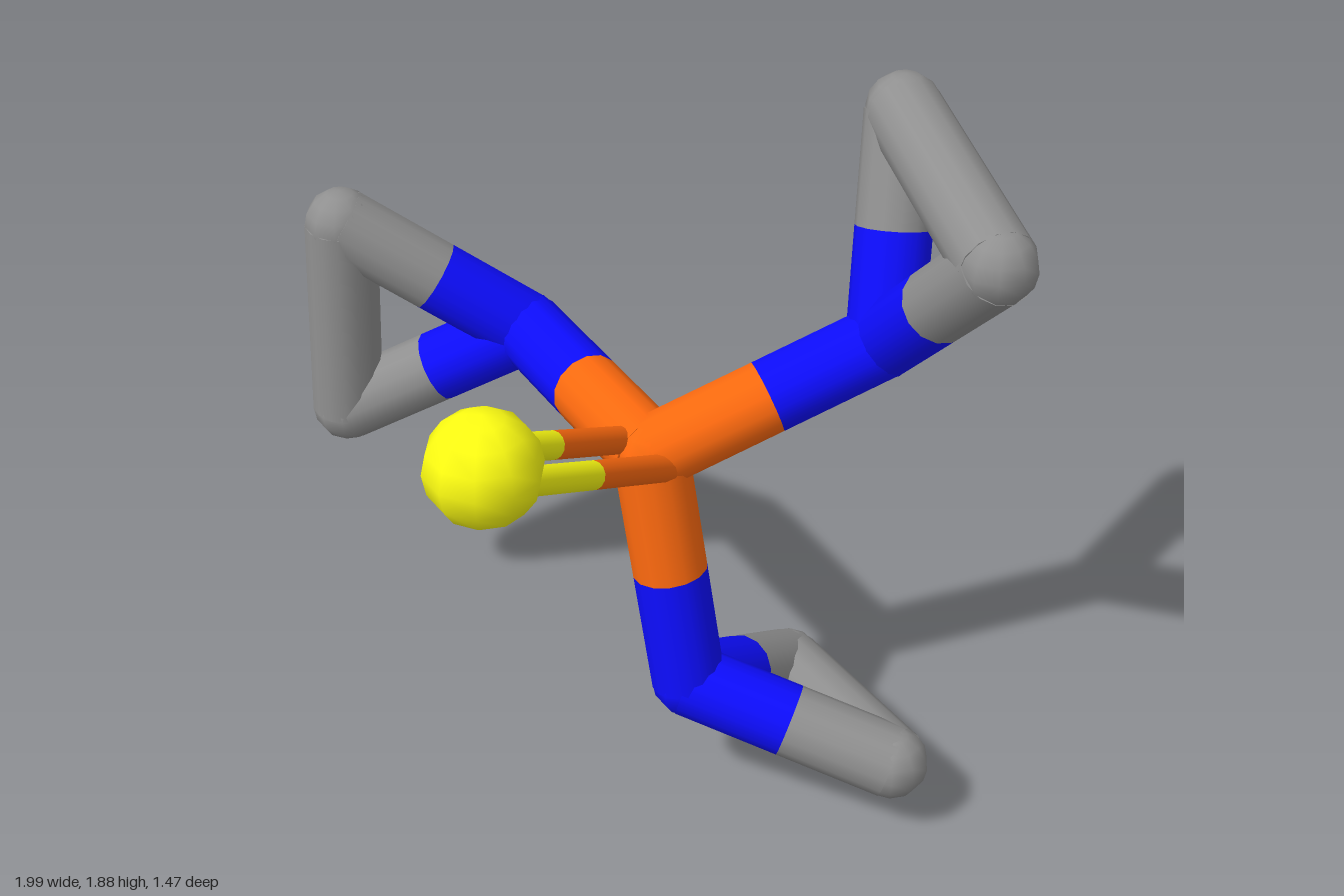
import * as THREE from 'three';

const ORANGE = 0xff6a0f, BLUE = 0x0d0dff, GREY = 0x909090, YELLOW = 0xffff12;
const R = 0.097; // thick bond radius
const V = (x, y, z) => new THREE.Vector3(x, y, z);

export function createModel() {
  const model = new THREE.Group();
  const materials = {};
  const mat = (color) => (materials[color] ??= new THREE.MeshStandardMaterial({ color }));

  function add(parent, name, geometry, color, position) {
    const mesh = new THREE.Mesh(geometry, mat(color));
    mesh.name = name;
    mesh.position.copy(position);
    parent.add(mesh);
    return mesh;
  }

  // Round rod between two points
  function rod(parent, name, a, b, radius, color) {
    const dir = b.clone().sub(a);
    const geometry = new THREE.CylinderGeometry(radius, radius, dir.length(), 14);
    const mesh = add(parent, name, geometry, color, a.clone().lerp(b, 0.5));
    mesh.quaternion.setFromUnitVectors(V(0, 1, 0), dir.normalize());
  }

  // Bond coloured half and half by the atoms at its ends
  function bond(parent, name, a, b, radius, colorA, colorB) {
    const mid = a.clone().lerp(b, 0.5);
    rod(parent, name + 'Start', a, mid, radius, colorA);
    rod(parent, name + 'End', mid, b, radius, colorB);
  }

  // Rounded joint closing the rod ends
  const joint = (parent, name, p, color) =>
    add(parent, name, new THREE.SphereGeometry(R, 10, 8), color, p);

  // Central atom
  const centre = V(0.1, 1.02, -0.08);
  joint(model, 'centralJoint', centre, ORANGE);

  // Three arms, each ending in a three-membered ring
  const arms = [
    ['rightArm', V(-0.43, 1.03, -0.5), V(-0.885, 1.335, -0.33), V(-0.905, 0.76, -0.335)],
    ['leftArm', V(0.575, 1.255, -0.45), V(0.525, 1.79, -0.645), V(0.895, 1.675, -0.19)],
    ['lowerArm', V(0.23, 0.36, -0.045), V(0.775, 0.21, -0.11), V(0.35, 0.1, -0.52)],
  ];
  for (const [name, n, c1, c2] of arms) {
    const arm = new THREE.Group();
    arm.name = name;
    model.add(arm);
    bond(arm, 'armBond', centre, n, R, ORANGE, BLUE);
    bond(arm, 'ringBondA', n, c1, R, BLUE, GREY);
    bond(arm, 'ringBondB', n, c2, R, BLUE, GREY);
    rod(arm, 'ringBase', c1, c2, R, GREY);
    joint(arm, 'ringRoot', n, BLUE);
    joint(arm, 'ringCornerA', c1, GREY);
    joint(arm, 'ringCornerB', c2, GREY);
  }

  // Front double bond with a ball at its tip
  const tip = V(-0.03, 1.37, 0.6);
  const offset = V(0.06, -0.015, 0.019);
  for (const side of [-1, 1]) {
    const shift = offset.clone().multiplyScalar(side);
    bond(model, side < 0 ? 'doubleBondRight' : 'doubleBondLeft',
      centre.clone().add(shift), tip.clone().add(shift), 0.036, ORANGE, YELLOW);
  }
  add(model, 'tipBall', new THREE.SphereGeometry(0.14, 10, 8), YELLOW, tip);

  return model;
}
